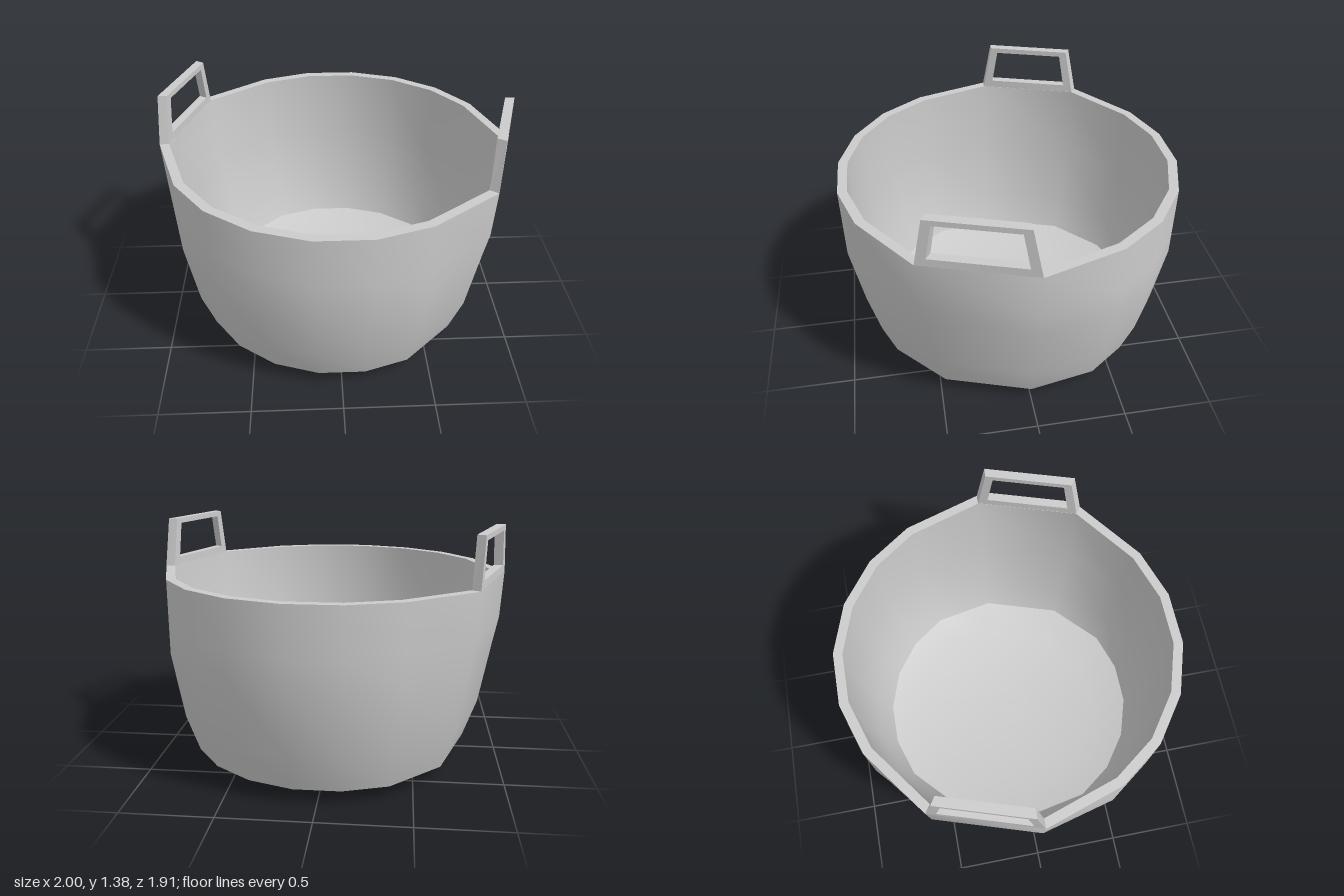
import * as THREE from 'three';
import { toCreasedNormals } from 'three/addons/utils/BufferGeometryUtils.js';

const RIM = 1.1;
const WALL = 0.05;

// Corners round one half of the tub; the first two carry a handle.
const HALF = [0, 36, 63, 81, 99, 117, 135, 153];

// Profile from under the base, up the outside, over the rim and down the inside:
// [height, radius, radius at the handle corners]
const PROFILE = [
  [0, 0, 0],
  [0, 0.61, 0.62],
  [0.08, 0.825, 0.805],
  [0.3, 0.9, 0.885],
  [0.68, 0.965, 0.955],
  [0.83, 0.965, 0.985],
  [RIM, 0.965, 1],
  [RIM, 0.912, 0.946],
  [0.68, 0.908, 0.905],
  [0.3, 0.85, 0.835],
  [0.1, 0.785, 0.768],
  [0.04, 0.57, 0.57],
  [0.04, 0, 0],
];

function createTub() {
  const corners = [...HALF, ...HALF.map((a) => a + 180)];
  const n = corners.length;
  const positions = [];
  const index = [];
  for (const [y, r, handleR] of PROFILE) {
    corners.forEach((deg, i) => {
      const a = THREE.MathUtils.degToRad(deg);
      const radius = i % HALF.length < 2 ? handleR : r;
      positions.push(radius * Math.cos(a), y, radius * Math.sin(a));
    });
  }
  for (let j = 0; j < PROFILE.length - 1; j++) {
    for (let i = 0; i < n; i++) {
      const a = j * n + i;
      const b = j * n + ((i + 1) % n);
      if (PROFILE[j + 1][1] > 0) index.push(a, a + n, b + n);
      if (PROFILE[j][1] > 0) index.push(a, b + n, b);
    }
  }
  const geometry = new THREE.BufferGeometry();
  geometry.setAttribute('position', new THREE.Float32BufferAttribute(positions, 3));
  geometry.setIndex(index);
  return toCreasedNormals(geometry, 0.66);
}

// Symmetric trapezoid, given half widths at its bottom and top
function trapezoid(Type, bottom, y0, top, y1) {
  return new Type([
    new THREE.Vector2(-bottom, y0),
    new THREE.Vector2(bottom, y0),
    new THREE.Vector2(top, y1),
    new THREE.Vector2(-top, y1),
  ]);
}

function createHandle() {
  const frame = trapezoid(THREE.Shape, 0.309, RIM, 0.255, 1.375);
  const hole = trapezoid(THREE.Path, 0.248, 1.145, 0.212, 1.345);
  frame.holes.push(hole);
  const geometry = new THREE.ExtrudeGeometry(frame, { depth: WALL, bevelEnabled: false });
  // Mitre the ends to follow the rim corners
  const p = geometry.attributes.position;
  for (let i = 0; i < p.count; i++) {
    if (p.getZ(i) < WALL / 2) p.setX(i, p.getX(i) * 0.95);
  }
  geometry.translate(0, 0, 0.951 - WALL);
  geometry.computeVertexNormals();
  return geometry;
}

export function createModel() {
  const model = new THREE.Group();
  model.name = 'tub';
  const material = new THREE.MeshStandardMaterial({ color: 0xcccccc });

  const body = new THREE.Mesh(createTub(), material);
  body.name = 'tubBody';
  model.add(body);

  // Two handles, opposite each other on the flat panels
  const handleGeometry = createHandle();
  ['leftHandle', 'rightHandle'].forEach((name, i) => {
    const handle = new THREE.Mesh(handleGeometry, material);
    handle.name = name;
    handle.rotation.y = THREE.MathUtils.degToRad(72 + i * 180);
    model.add(handle);
  });
  return model;
}
